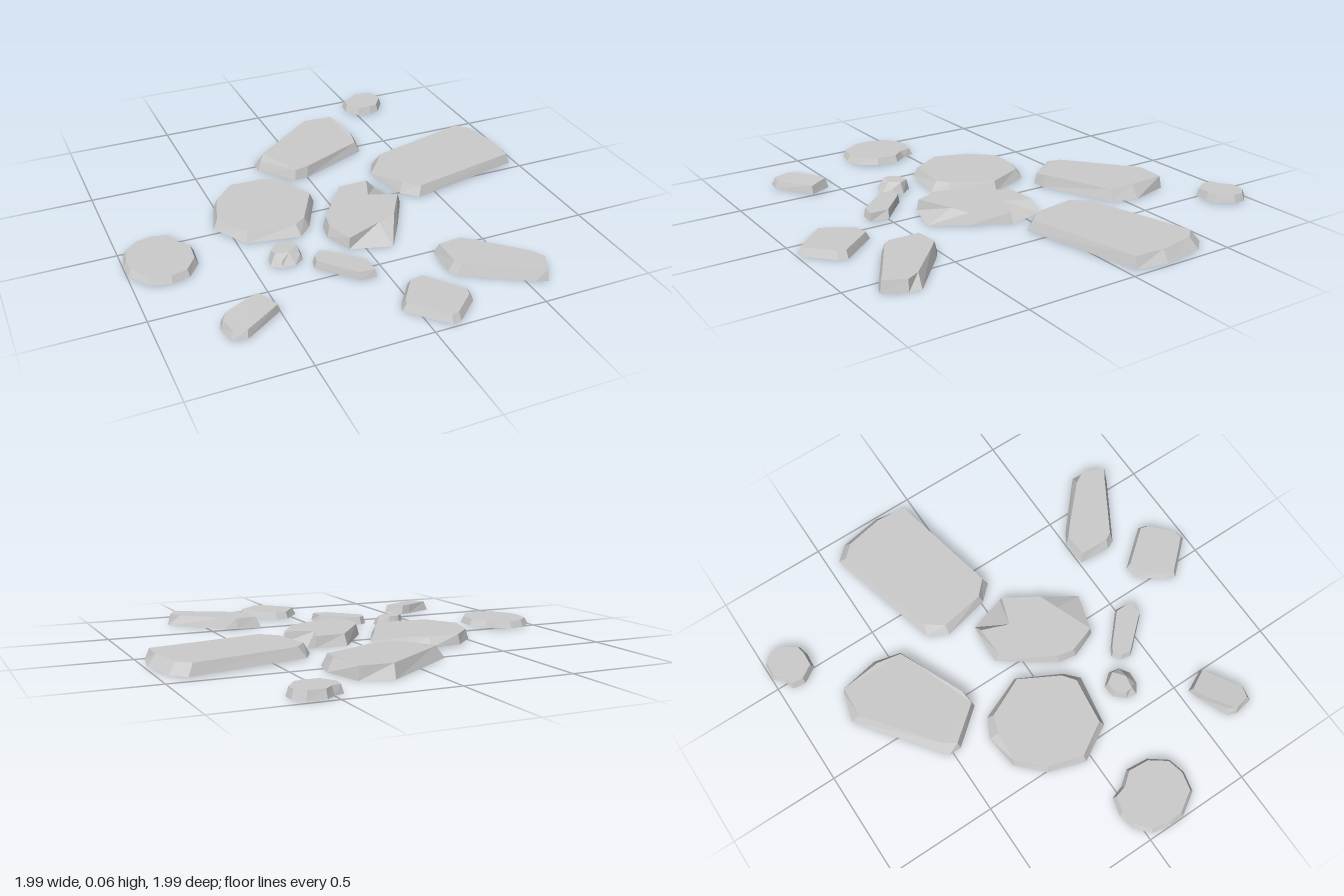
import * as THREE from 'three';

const material = new THREE.MeshStandardMaterial({ color: 0xcccccc, flatShading: true });

// A flat stone: ground outline of [x, z, inset, drop], clockwise seen from above.
// Each top corner moves towards the middle by its inset and sinks by its drop.
function stone(name, base, height, inset, outline) {
  const n = outline.length;
  const cx = outline.reduce((s, p) => s + p[0], 0) / n;
  const cz = outline.reduce((s, p) => s + p[1], 0) / n;
  const low = outline.map(([x, z]) => new THREE.Vector3(x, base, z));
  const high = outline.map(([x, z, d = inset, drop = 0]) => {
    const k = d / Math.hypot(x - cx, z - cz);
    return new THREE.Vector3(x + (cx - x) * k, height - drop, z + (cz - z) * k);
  });

  const positions = [];
  const tri = (a, b, c) => [a, b, c].forEach((p) => positions.push(p.x, p.y, p.z));

  // top and underside
  const cap = (loop, up) => {
    const flat = loop.map((p) => new THREE.Vector2(p.x, -p.z));
    for (const [i, j, k] of THREE.ShapeUtils.triangulateShape(flat, [])) {
      const ccw = THREE.ShapeUtils.area([flat[i], flat[j], flat[k]]) > 0;
      if (ccw === up) tri(loop[i], loop[j], loop[k]);
      else tri(loop[i], loop[k], loop[j]);
    }
  };
  cap(high, true);
  cap(low, false);

  // sloping rim
  for (let i = 0; i < n; i++) {
    const j = (i + 1) % n;
    tri(low[j], low[i], high[i]);
    tri(low[j], high[i], high[j]);
  }

  const geometry = new THREE.BufferGeometry();
  geometry.setAttribute('position', new THREE.Float32BufferAttribute(positions, 3));
  geometry.computeVertexNormals();
  const mesh = new THREE.Mesh(geometry, material);
  mesh.name = name;
  return mesh;
}

export function createModel() {
  const group = new THREE.Group();
  group.name = 'steppingStones';
  group.add(
    // large slabs
    stone('rightSlab', 0.005, 0.054, 0.025, [
      [0.895, -0.445, 0.04], [0.955, -0.38, 0.04], [0.99, -0.185, 0.035], [0.965, -0.04, 0.02],
      [0.405, 0.08], [0.34, 0.01, 0.02], [0.29, -0.21, 0.03], [0.34, -0.3, 0.04],
    ]),
    stone('backSlab', 0, 0.058, 0.02, [
      [0.18, -0.8, 0.04], [0.32, -0.76, 0.01], [0.37, -0.57, 0.035], [0.34, -0.445, 0.025, 0.006],
      [0, -0.305, 0.012, 0.004], [-0.065, -0.3, 0.012, 0.008], [-0.195, -0.46, 0.015, 0.012],
      [-0.195, -0.52, 0.05, 0.004],
    ]),
    stone('hexagonSlab', 0.005, 0.05, 0.02, [
      [-0.235, -0.33, 0.04], [-0.145, -0.285, 0.03], [-0.06, -0.08, 0.02], [-0.165, 0.12, 0.025],
      [-0.225, 0.175, 0.035], [-0.465, 0.135, 0.025], [-0.56, -0.03], [-0.505, -0.2, 0.015],
      [-0.395, -0.31, 0.012],
    ]),
    // middle slab with two chipped corners
    stone('chippedSlab', 0, 0.052, 0.015, [
      [0.065, -0.105, 0.025], [0.215, -0.095, 0.012], [0.255, -0.09, 0.16], [0.305, 0.08, 0.015],
      [0.21, 0.25, 0.02], [0.115, 0.4, 0.13], [-0.07, 0.345, 0.01], [-0.12, 0.22], [-0.105, 0.135],
    ]),
    // long wedge at the front
    stone('frontWedge', 0, 0.051, 0.015, [
      [0.25, 0.51, 0.025], [0.37, 0.505, 0.015], [0.425, 0.54, 0.025], [0.645, 0.735, 0.05],
      [0.64, 0.79, 0.012], [0.59, 0.885, 0.012], [0.54, 0.865, 0.03], [0.26, 0.7, 0.025],
      [0.24, 0.66, 0.025],
    ]),
    stone('frontStone', 0.003, 0.036, 0.018, [
      [0.105, 0.67], [0.245, 0.84], [0.235, 0.88], [0.125, 0.98], [0.085, 0.99],
      [-0.06, 0.835], [-0.045, 0.795], [0.04, 0.68],
    ]),
    // rounded stones
    stone('leftRoundStone', 0.005, 0.036, 0.015, [
      [-0.84, -0.05], [-0.76, -0.03], [-0.74, 0.03], [-0.69, 0.095], [-0.7, 0.2], [-0.76, 0.28],
      [-0.84, 0.3], [-0.93, 0.28], [-0.995, 0.18], [-1, 0.11], [-0.98, 0.02], [-0.915, -0.035],
    ]),
    stone('backRoundStone', 0.005, 0.042, 0.012, [
      [0.55, -0.995], [0.63, -0.99], [0.67, -0.945], [0.67, -0.89], [0.617, -0.815],
      [0.57, -0.805], [0.5, -0.81], [0.455, -0.88], [0.462, -0.94], [0.505, -0.955],
    ]),
    // small stones
    stone('leftSmallStone', 0.005, 0.05, 0.01, [
      [-0.55, 0.545, 0.015], [-0.5, 0.645, 0.012, 0.008], [-0.675, 0.76, 0.012, 0.012],
      [-0.74, 0.75, 0.02, 0.01], [-0.755, 0.665, 0.012, 0.005], [-0.74, 0.62, 0.02],
      [-0.6, 0.56],
    ]),
    stone('narrowStone', 0.005, 0.041, 0.01, [
      [-0.22, 0.35], [-0.19, 0.365], [-0.04, 0.5, 0.02], [-0.05, 0.585], [-0.125, 0.58],
      [-0.265, 0.425], [-0.255, 0.38],
    ]),
    stone('pebble', 0.005, 0.053, 0.012, [
      [-0.35, 0.24], [-0.32, 0.24], [-0.275, 0.295, 0.02], [-0.285, 0.345, 0.012, 0.02],
      [-0.33, 0.375, 0.04], [-0.39, 0.37, 0.015, 0.02], [-0.43, 0.34, 0.03], [-0.42, 0.29],
      [-0.38, 0.245],
    ]),
  );
  return group;
}
